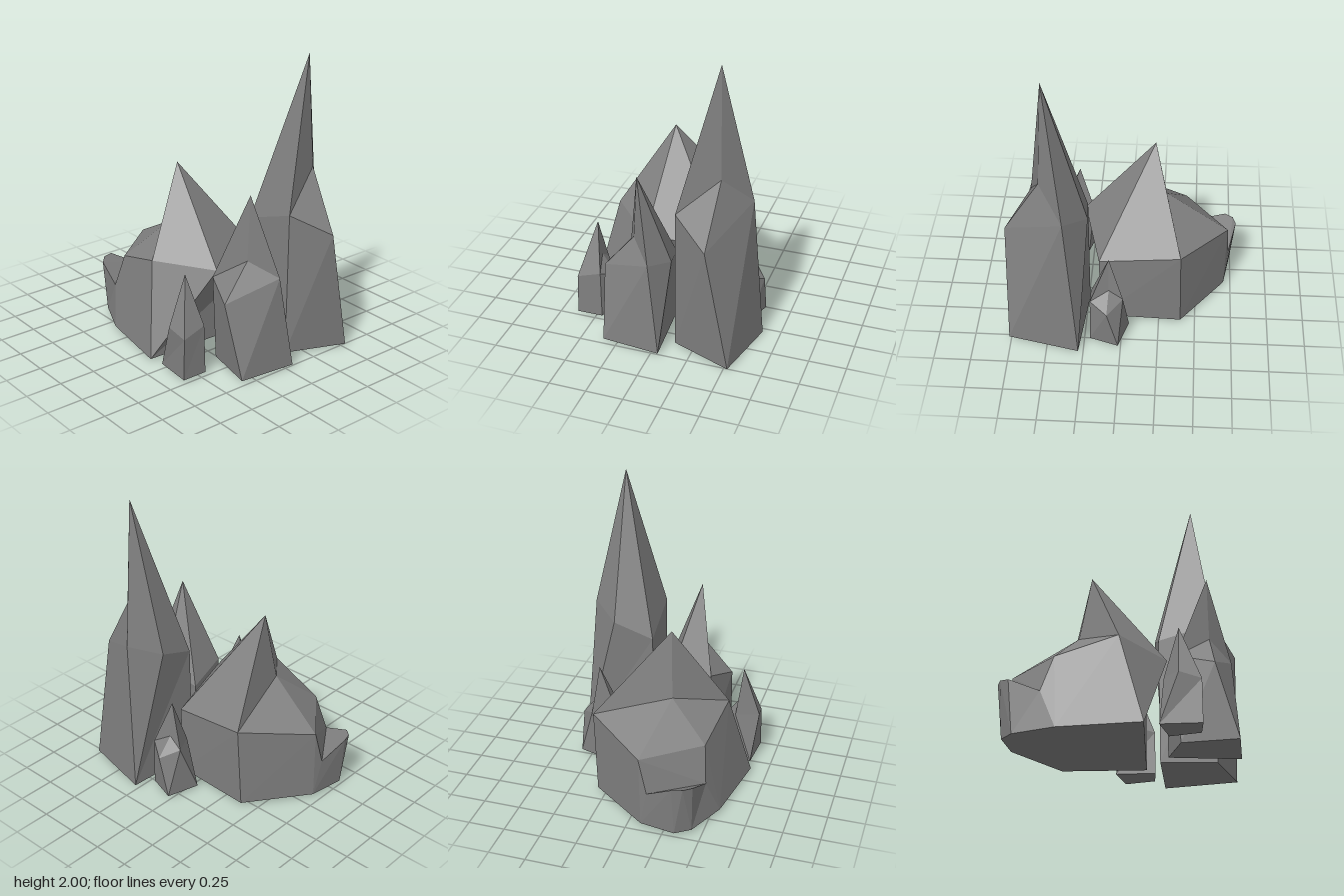
import * as THREE from 'three';

const material = new THREE.MeshStandardMaterial({ color: 0x808080, flatShading: true });

// Flat-shaded mesh from named points and polygons (fanned, counter-clockwise from outside)
function facetMesh(name, points, polygons) {
  const pos = [];
  for (const poly of polygons) {
    for (let i = 1; i < poly.length - 1; i++) {
      for (const key of [poly[0], poly[i], poly[i + 1]]) pos.push(...points[key]);
    }
  }
  const geo = new THREE.BufferGeometry();
  geo.setAttribute('position', new THREE.Float32BufferAttribute(pos, 3));
  geo.computeVertexNormals();
  const mesh = new THREE.Mesh(geo, material);
  mesh.name = name;
  return mesh;
}

// Crystal on a four-cornered base: five uneven shoulders, a step above shoulder 1, and a tip.
// Rings run right, back, left, front; shoulder 4 stands above base corner 3.
function crystal(name, tip, step, shoulder, base) {
  const points = { tip, step };
  shoulder.forEach((p, i) => { points['s' + i] = p; });
  base.forEach((p, i) => { points['b' + i] = p; });
  return facetMesh(name, points, [
    // cap
    ['tip', 's0', 'step'], ['tip', 'step', 's2'], ['step', 's0', 's1'], ['step', 's1', 's2'],
    ['tip', 's2', 's3'], ['tip', 's3', 's4'], ['tip', 's4', 's0'],
    // walls
    ['b0', 'b1', 's1'], ['b0', 's1', 's0'], ['b1', 'b2', 's2'], ['b1', 's2', 's1'],
    ['b2', 'b3', 's4'], ['b2', 's4', 's3'], ['b2', 's3', 's2'],
    ['b3', 'b0', 's0'], ['b3', 's0', 's4'],
    // underside
    ['b3', 'b2', 'b1', 'b0'],
  ]);
}

function smallCrystal(name, x, z) {
  const mesh = crystal(name, [0, 0.68, 0], [0.025, 0.43, 0],
    [[0.055, 0.35, 0.125], [0.127, 0.295, 0.01], [0.03, 0.36, -0.095], [-0.123, 0.34, -0.01],
      [-0.108, 0.3, 0.13]],
    [[0.06, 0.015, 0.13], [0.125, 0.015, -0.065], [-0.095, 0.015, -0.13], [-0.115, 0.015, 0.13]]);
  mesh.position.set(x, 0, z);
  return mesh;
}

// Broad crystal with a scooped notch and a raised lip at the back
function broadCrystal() {
  const points = {
    tip: [-0.15, 1.2, -0.2], step: [-0.18, 0.75, -0.28],
    // shoulders
    right: [0.335, 0.6, -0.39], back: [-0.08, 0.52, -0.71], corner: [-0.445, 0.52, -0.42],
    left: [-0.5, 0.64, -0.02], front: [-0.2, 0.59, 0.285], side: [0.297, 0.52, 0.16],
    // scoop floor and lip
    n1: [-0.14, 0.28, -0.725], n2: [-0.475, 0.28, -0.5],
    l1: [-0.32, 0.38, -0.775], l2: [-0.39, 0.38, -0.755], l3: [-0.44, 0.37, -0.7],
    // base
    b0: [0.31, 0.02, -0.4], b1: [-0.09, 0.02, -0.7], b2: [-0.33, 0.02, -0.74],
    b3: [-0.43, 0.02, -0.67], b4: [-0.55, 0.02, -0.4], b5: [-0.635, 0.02, 0.13],
    b6: [0.29, 0.02, 0.155],
  };
  return facetMesh('broadCrystal', points, [
    // cap
    ['tip', 'front', 'side'], ['tip', 'side', 'right'], ['tip', 'right', 'step'],
    ['tip', 'step', 'left'], ['tip', 'left', 'front'], ['step', 'right', 'back'],
    ['step', 'back', 'corner'], ['step', 'corner', 'left'],
    // walls
    ['b6', 'b0', 'right'], ['b6', 'right', 'side'], ['b0', 'b1', 'back'],
    ['b0', 'back', 'right'], ['b1', 'n1', 'back'], ['b1', 'b2', 'l1', 'n1'],
    ['b2', 'b3', 'l2', 'l1'], ['b3', 'l3', 'l2'], ['b3', 'b4', 'n2', 'l3'],
    ['b4', 'corner', 'n2'], ['b4', 'left', 'corner'], ['b4', 'b5', 'left'],
    ['b5', 'front', 'left'], ['b5', 'b6', 'side'], ['b5', 'side', 'front'],
    // scoop
    ['back', 'n1', 'n2', 'corner'], ['n1', 'l1', 'l2', 'l3', 'n2'],
    // underside
    ['b6', 'b5', 'b4', 'b3', 'b2', 'b1', 'b0'],
  ]);
}

export function createModel() {
  const group = new THREE.Group();
  group.name = 'crystalCluster';
  group.add(
    crystal('tallCrystal', [0.38, 2, 0.49], [0.4, 1.25, 0.53],
      [[0.127, 1, 0.615], [0.37, 0.85, 0.77], [0.57, 1.05, 0.37], [0.39, 0.97, 0.22],
        [0.118, 0.87, 0.24]],
      [[0.12, 0.015, 0.61], [0.527, 0.01, 0.765], [0.63, 0, 0.285], [0.11, 0.015, 0.24]]),
    crystal('middleCrystal', [-0.15, 1.19, 0.555], [-0.175, 0.75, 0.56],
      [[-0.28, 0.59, 0.34], [-0.375, 0.51, 0.578], [-0.03, 0.64, 0.71], [0.07, 0.59, 0.53],
        [0.02, 0.52, 0.285]],
      [[-0.27, 0.015, 0.36], [-0.345, 0.015, 0.72], [0.052, 0.015, 0.76], [0.017, 0.015, 0.29]]),
    broadCrystal(),
    smallCrystal('smallCrystalRight', -0.513, 0.35),
    smallCrystal('smallCrystalLeft', 0.455, 0.083));
  return group;
}
